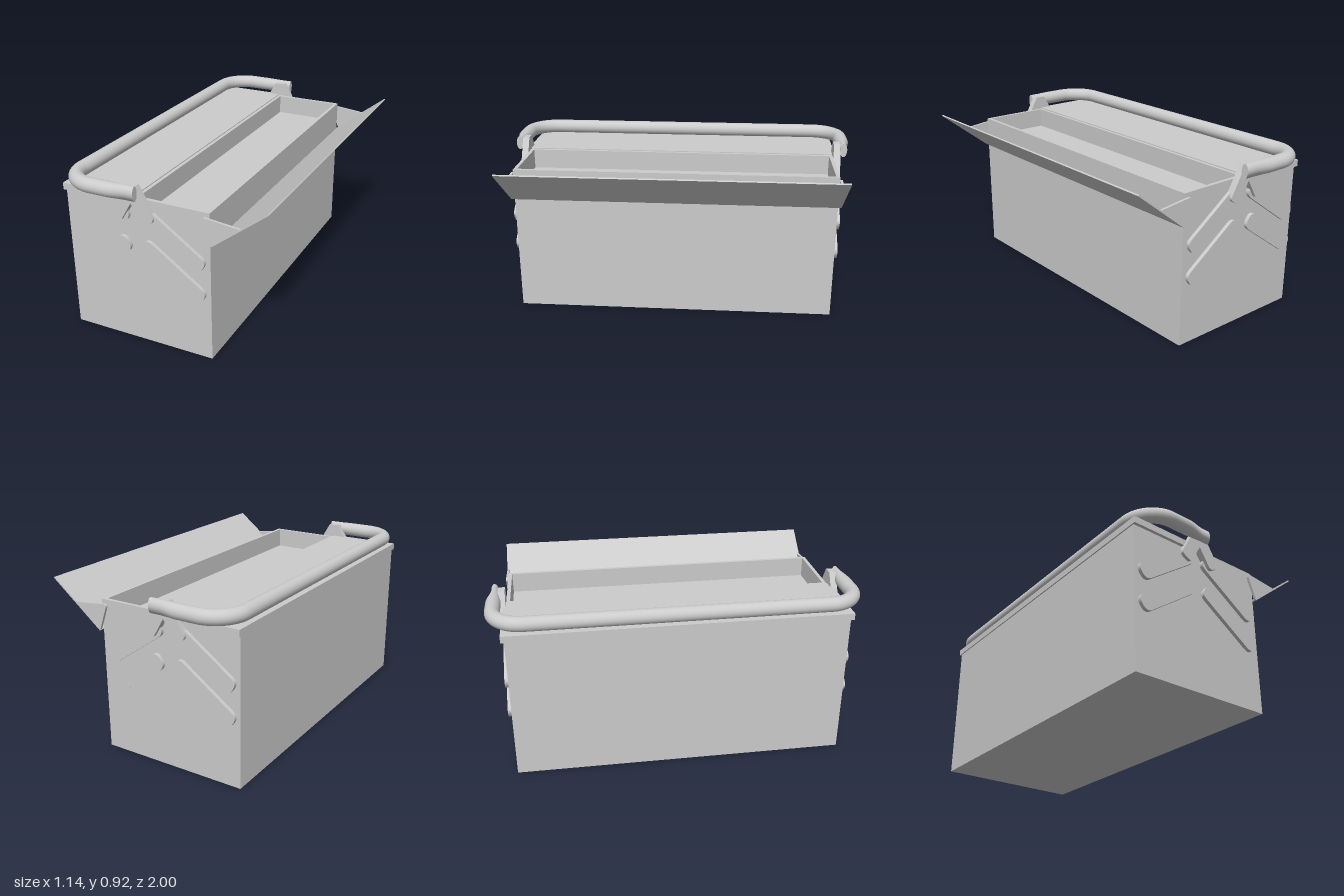
import * as THREE from 'three';

const grey = new THREE.MeshStandardMaterial({ color: 0xcccccc });
const V = (x, y, z) => new THREE.Vector3(x, y, z);

function add(parent, name, geometry) {
  const mesh = new THREE.Mesh(geometry, grey);
  mesh.name = name;
  parent.add(mesh);
  return mesh;
}

// Box given by its lower and upper corners
function block(parent, name, a, b) {
  const g = new THREE.BoxGeometry(b[0] - a[0], b[1] - a[1], b[2] - a[2]);
  g.translate((a[0] + b[0]) / 2, (a[1] + b[1]) / 2, (a[2] + b[2]) / 2);
  return add(parent, name, g);
}

// Closed outline whose corners [x, y, radius] are rounded where radius > 0
function outline(corners) {
  const s = new THREE.Shape();
  const n = corners.length;
  corners.forEach(([x, y, r = 0], i) => {
    const p = new THREE.Vector2(x, y);
    const toward = (c) => new THREE.Vector2(c[0], c[1]).sub(p).setLength(r).add(p);
    const a = toward(corners[(i + n - 1) % n]);
    const b = toward(corners[(i + 1) % n]);
    if (i === 0) s.moveTo(a.x, a.y);
    else s.lineTo(a.x, a.y);
    if (r > 0) s.quadraticCurveTo(x, y, b.x, b.y);
  });
  s.closePath();
  return s;
}

// Plate on an end of the box, lying between two distances from the centre
function endPlate(parent, name, shape, side, z0, z1) {
  const g = new THREE.ExtrudeGeometry(shape, { depth: z1 - z0, bevelEnabled: false, curveSegments: 8 });
  g.translate(0, 0, side > 0 ? z0 : -z1);
  return add(parent, name, g);
}

// Rounded bar, centred on (x, y) and tilted
function barShape(x, y, length, width, r, angle) {
  const c = Math.cos(angle), s = Math.sin(angle);
  return outline([[-1, -1], [1, -1], [1, 1], [-1, 1]].map(([i, j]) => {
    const u = i * length / 2, v = j * width / 2;
    return [x + u * c - v * s, y + u * s + v * c, r];
  }));
}

// Bent tube whose two ends are squeezed flat
function handleGrip(parent) {
  const x = -0.53, y = 0.88, z = 0.96, r = 0.04, bend = 0.16, k = bend * 0.4477;
  const frontEnd = -0.115, backEnd = -0.098;
  const path = new THREE.CurvePath();
  path.add(new THREE.LineCurve3(V(frontEnd, y, z), V(x + bend, y, z)));
  path.add(new THREE.CubicBezierCurve3(V(x + bend, y, z), V(x + k, y, z), V(x, y, z - k), V(x, y, z - bend)));
  path.add(new THREE.LineCurve3(V(x, y, z - bend), V(x, y, bend - z)));
  path.add(new THREE.CubicBezierCurve3(V(x, y, bend - z), V(x, y, k - z), V(x + k, y, -z), V(x + bend, y, -z)));
  path.add(new THREE.LineCurve3(V(x + bend, y, -z), V(backEnd, y, -z)));

  const squeeze = (g) => {
    const p = g.attributes.position;
    for (let i = 0; i < p.count; i++) {
      const t = THREE.MathUtils.smoothstep(p.getX(i), -0.27, -0.15);
      const c = Math.sign(p.getZ(i)) * z;
      p.setZ(i, c + (p.getZ(i) - c) * (1 - 0.5 * t) - Math.sign(c) * 0.004 * t);
    }
    return g;
  };
  add(parent, 'handleTube', squeeze(new THREE.TubeGeometry(path, 200, r, 24)));
  for (const [end, side] of [[frontEnd, 1], [backEnd, -1]]) {
    const cap = new THREE.CircleGeometry(r, 24);
    cap.rotateY(Math.PI / 2);
    cap.translate(end, y, side * z);
    add(parent, 'handleEndCap', squeeze(cap));
  }
}

export function createModel() {
  const model = new THREE.Group();
  model.name = 'toolbox';
  const mid = -0.155;

  // Body: solid lower part, and an upper ring around the open tray
  const trayFloor = 0.72, top = 0.832;
  block(model, 'body', [-0.565, 0, -0.9], [0.26, trayFloor, 0.9]);
  const ring = outline([[-0.565, -0.9], [0.26, -0.9], [0.26, 0.9], [-0.565, 0.9]]);
  ring.holes.push(outline([[-0.14, -0.88], [-0.14, 0.88], [0.24, 0.88], [0.24, -0.88]]));
  const rim = new THREE.ExtrudeGeometry(ring, { depth: top - trayFloor, bevelEnabled: false });
  rim.rotateX(-Math.PI / 2);
  rim.translate(0, trayFloor, 0);
  add(model, 'trayWalls', rim);

  // Closed lid, a shallow cap over the left half
  block(model, 'closedLid', [-0.572, 0.8, -0.917], [-0.16, 0.837, 0.917]);

  // Open lid, a thin tilted panel with a gusset at each end
  const openLid = new THREE.Group();
  openLid.name = 'openLid';
  model.add(openLid);
  const panel = outline([[0.272, 0.662], [0.57, 0.896], [0.565, 0.902], [0.267, 0.668]]);
  const panelGeo = new THREE.ExtrudeGeometry(panel, { depth: 1.834, bevelEnabled: false });
  panelGeo.translate(0, 0, -0.917);
  add(openLid, 'lidPanel', panelGeo);
  const gusset = outline([[0.271, 0.664], [0.43, 0.79], [0.217, 0.813, 0.028]]);

  // End fittings, the same on both ends
  const handle = new THREE.Group();
  handle.name = 'handle';
  model.add(handle);
  const tilt = Math.atan2(0.2, 0.285);
  const bracket = outline([
    [mid - 0.03, 0.91], [mid - 0.128, 0.738, 0.025], [mid - 0.068, 0.7, 0.025], [mid, 0.815],
    [mid + 0.068, 0.7, 0.025], [mid + 0.128, 0.738, 0.025], [mid + 0.03, 0.91],
  ]);
  for (const side of [1, -1]) {
    endPlate(openLid, 'lidGusset', gusset, side, 0.903, 0.917);
    endPlate(handle, 'handleBracket', bracket, side, 0.9, 0.938);
    for (const m of [1, -1]) {
      for (const y of [0.47, 0.647]) {
        const bar = barShape(mid + m * 0.209, y, 0.412, 0.09, 0.042, -m * tilt);
        endPlate(model, 'linkArm', bar, side, 0.899, 0.92);
      }
    }
  }
  handleGrip(handle);
  return model;
}
